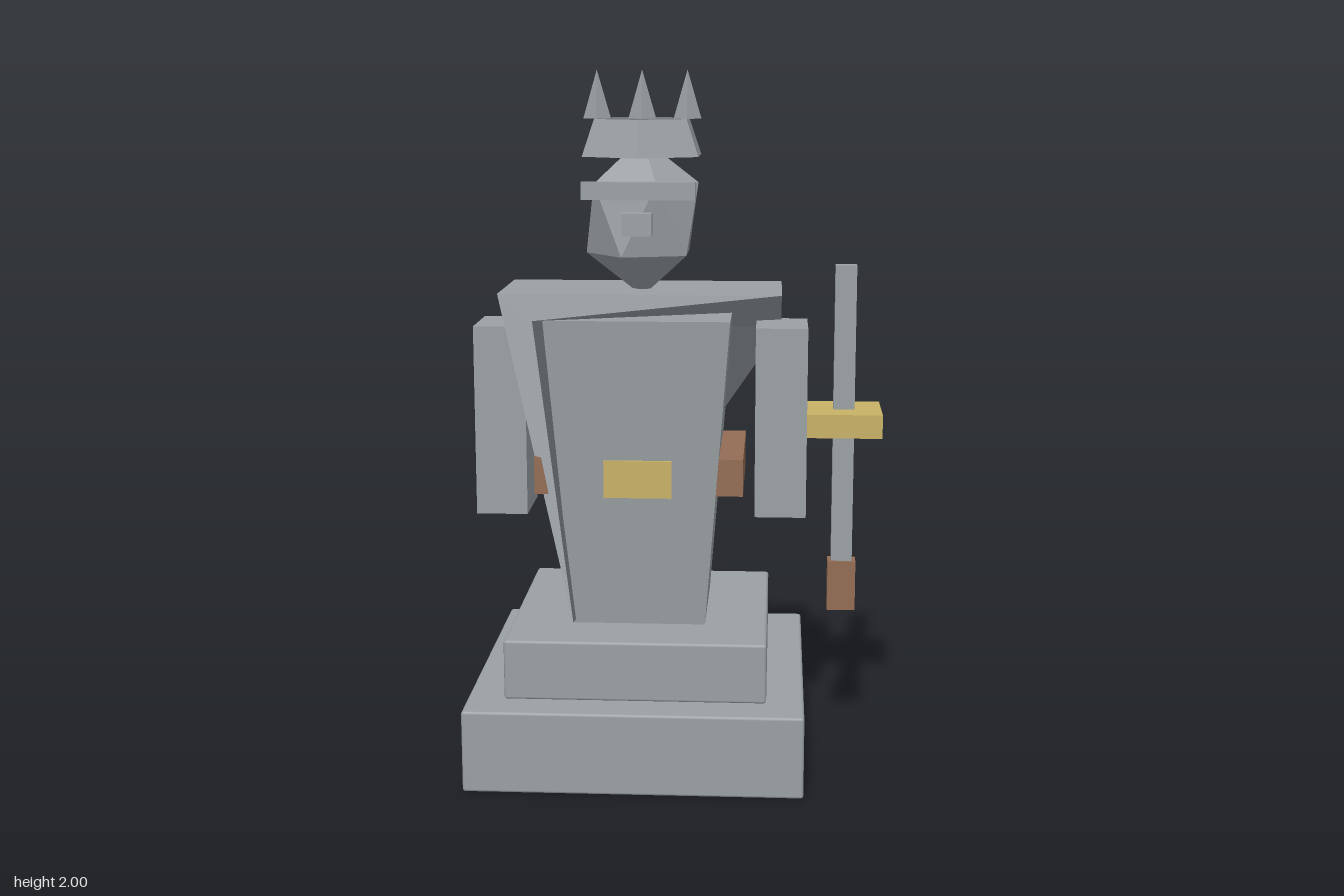
import * as THREE from 'three';
import { RoundedBoxGeometry } from 'three/addons/geometries/RoundedBoxGeometry.js';

export function createModel() {
  const model = new THREE.Group();
  const material = (name, color, extra = {}) => {
    const m = new THREE.MeshStandardMaterial({ color, ...extra });
    m.name = name;
    return m;
  };
  const stone = material('stone grey', 0x9aa0a4, { side: THREE.DoubleSide });
  const gold = material('gold', 0xc9b266);
  const leather = material('brown leather', 0x936c54);
  const cloth = material('blue cloth', 0x647a9c);
  const CX = -0.11; // axis of the figure

  const add = (name, geometry, mat, x = 0, y = 0, z = 0) => {
    const mesh = new THREE.Mesh(geometry, mat);
    mesh.name = name;
    mesh.position.set(x, y, z);
    model.add(mesh);
    return mesh;
  };
  // Box given by its limits; a bevel rounds the edges
  const box = (name, mat, [x0, x1], [y0, y1], [z0, z1], bevel = 0) => {
    const size = [x1 - x0, y1 - y0, z1 - z0];
    const g = bevel ? new RoundedBoxGeometry(...size, 1, bevel) : new THREE.BoxGeometry(...size);
    return add(name, g, mat, (x0 + x1) / 2, (y0 + y1) / 2, (z0 + z1) / 2);
  };

  // Stepped plinth
  box('lowerPlinth', stone, [-0.59, 0.37], [0, 0.238], [-0.48, 0.48], 0.008);
  box('upperPlinth', stone, [-0.483, 0.263], [0.238, 0.412], [-0.373, 0.373], 0.008);

  // Torso: a box narrowing towards the bottom
  const torso = new THREE.BoxGeometry(0.525, 0.9, 0.525);
  const p = torso.attributes.position;
  for (let i = 0; i < p.count; i++) {
    if (p.getY(i) < 0) p.setXYZ(i, p.getX(i) * 0.73, p.getY(i), p.getZ(i) * 0.73);
  }
  torso.computeVertexNormals();
  add('torso', torso, stone, CX, 0.862, 0);

  // Shoulder block whose lower front corners are drawn into a draped fold
  const corner = {
    topFrontR: [-0.513, 1.375, 0.17], topFrontL: [0.295, 1.375, 0.17],
    topBackR: [-0.513, 1.375, -0.172], topBackL: [0.295, 1.375, -0.172],
    lowBackR: [-0.513, 1.235, -0.172], lowBackL: [0.295, 1.235, -0.172],
    foldTop: [-0.4, 1.312, 0.272], foldFoot: [-0.303, 0.412, 0.197],
  };
  const quads = [
    ['topFrontR', 'foldFoot', 'foldTop', 'topFrontL'],
    ['topFrontL', 'foldTop', 'lowBackL', 'topBackL'],
    ['foldFoot', 'lowBackR', 'lowBackL', 'foldTop'],
    ['topBackR', 'lowBackR', 'foldFoot', 'topFrontR'],
    ['topBackL', 'lowBackL', 'lowBackR', 'topBackR'],
    ['topFrontR', 'topFrontL', 'topBackL', 'topBackR'],
  ];
  const pos = [], nor = [];
  for (const q of quads) {
    const v = q.map((n) => new THREE.Vector3(...corner[n]));
    const n = v[2].clone().sub(v[0]).cross(v[3].clone().sub(v[1])).normalize();
    for (const k of [0, 1, 2, 0, 2, 3]) {
      pos.push(...v[k].toArray());
      nor.push(...n.toArray());
    }
  }
  const drape = new THREE.BufferGeometry();
  drape.setAttribute('position', new THREE.Float32BufferAttribute(pos, 3));
  drape.setAttribute('normal', new THREE.Float32BufferAttribute(nor, 3));
  const drapeStone = material('stone grey drape', 0x9aa0a4);
  add('shoulderDrape', drape, drapeStone);

  // Arms
  box('rightArm', stone, [-0.595, -0.445], [0.715, 1.272], [-0.108, 0.108]);
  box('leftArm', stone, [0.222, 0.372], [0.715, 1.272], [-0.108, 0.108]);

  // Belt, buckle and cape
  box('belt', leather, [-0.41, 0.19], [0.8, 0.908], [-0.205, 0.205]);
  box('buckle', gold, [-0.207, -0.013], [0.8, 0.908], [0.18, 0.24]);
  box('cape', cloth, [-0.287, 0.067], [0.412, 0.822], [-0.257, -0.2]);

  // Sword
  box('swordBlade', stone, [0.45, 0.512], [0.56, 1.445], [-0.021, 0.021]);
  box('swordGuard', gold, [0.37, 0.59], [0.953, 1.022], [-0.107, 0.107]);
  box('swordGrip', leather, [0.44, 0.523], [0.412, 0.562], [-0.03, 0.03]);

  // Head: a stretched twenty-sided solid built from two five-point rings
  const ring = (h, turn) => Array.from({ length: 5 }, (_, i) => {
    const a = (i * 2 * Math.PI) / 5 + turn;
    return [0.894 * Math.cos(a), h, 0.894 * Math.sin(a)];
  });
  const up = ring(0.447, 0), low = ring(-0.447, Math.PI / 5);
  const headPos = [];
  for (let i = 0; i < 5; i++) {
    const j = (i + 1) % 5;
    headPos.push(...[0, 1, 0], ...up[j], ...up[i], ...up[i], ...up[j], ...low[i]);
    headPos.push(...low[i], ...up[j], ...low[j], ...low[i], ...low[j], ...[0, -1, 0]);
  }
  const head = new THREE.BufferGeometry();
  head.setAttribute('position', new THREE.Float32BufferAttribute(headPos, 3));
  head.scale(0.182, 0.228, 0.165);
  head.computeVertexNormals();
  add('head', head, stone, CX, 1.58, 0.013);
  box('brow', stone, [-0.27, 0.05], [1.642, 1.692], [0.15, 0.185]);
  box('nose', stone, [-0.153, -0.07], [1.543, 1.606], [0.158, 0.206]);

  // Open six-sided crown band with three spikes
  const flat = (g) => {
    const f = g.toNonIndexed();
    f.computeVertexNormals();
    return f;
  };
  add('crownBand', flat(new THREE.CylinderGeometry(0.152, 0.191, 0.105, 6, 1, true)), stone, CX, 1.81, 0);
  for (const dx of [-0.13, 0, 0.13]) {
    add('crownSpike', flat(new THREE.ConeGeometry(0.04, 0.138, 4)), stone, CX + dx, 1.931, 0);
  }
  return model;
}
